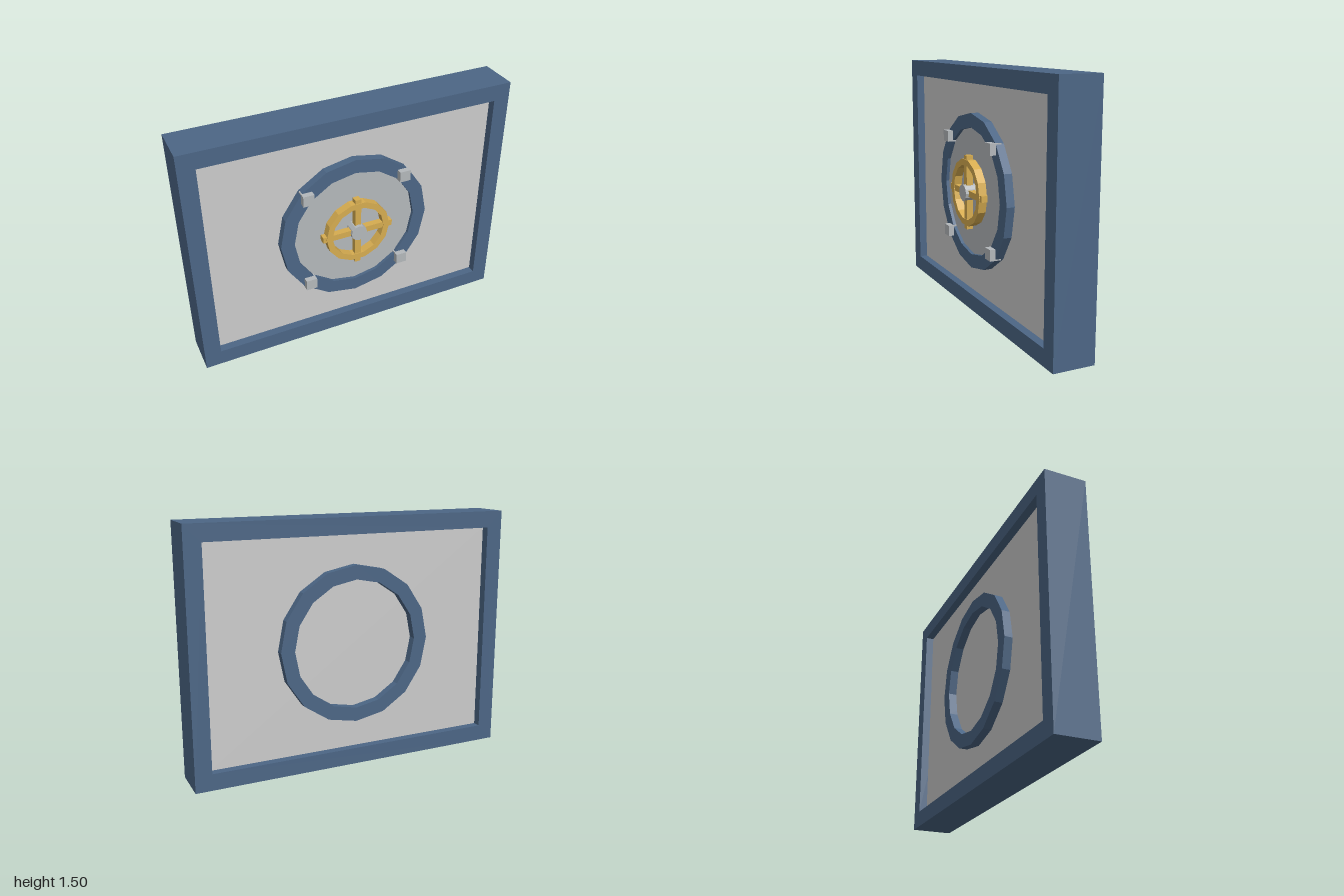
import * as THREE from 'three';

const mat = (color) => new THREE.MeshStandardMaterial({ color, flatShading: true });
const BLUE = mat(0x4c6685), GREY = mat(0xcccccc), STEEL = mat(0xb4b8bb), GOLD = mat(0xd6ac50);
const CY = 0.75; // height of the hatch centre

export function createModel() {
  const model = new THREE.Group();

  const add = (parent, name, geometry, material, x, y, z) => {
    const mesh = new THREE.Mesh(geometry, material);
    mesh.name = name;
    mesh.position.set(x, y, z);
    parent.add(mesh);
    return mesh;
  };

  const polygon = (radius, sides) => Array.from({ length: sides }, (_, i) => {
    const a = (i / sides) * Math.PI * 2;
    return new THREE.Vector2(Math.cos(a) * radius, Math.sin(a) * radius);
  });
  const rectangle = (w, h) => [[-w, -h], [w, -h], [w, h], [-w, h]]
    .map(([x, y]) => new THREE.Vector2(x / 2, y / 2));

  // Flat band between two outlines, extruded towards +z
  const band = (outer, inner, depth) => {
    const shape = new THREE.Shape(outer);
    shape.holes.push(new THREE.Path(inner));
    return new THREE.ExtrudeGeometry(shape, { depth, bevelEnabled: false });
  };
  const disc = (radius, depth, sides) =>
    new THREE.ExtrudeGeometry(new THREE.Shape(polygon(radius, sides)), { depth, bevelEnabled: false });

  // Wall: outer frame with a recessed panel on both sides
  add(model, 'frame', band(rectangle(2, 1.5), rectangle(1.8, 1.3), 0.25), BLUE, 0, CY, -0.15);
  add(model, 'panel', new THREE.BoxGeometry(1.8, 1.3, 0.15), GREY, 0, CY, -0.025);

  // Round hatch collar showing on both sides, with the door in front
  add(model, 'hatchRing', band(polygon(0.475, 16), polygon(0.39, 16), 0.25), BLUE, 0, CY, -0.15);
  add(model, 'hatchDoor', disc(0.39, 0.04, 16), STEEL, 0, CY, 0.04);

  // Four square bolts on the collar
  for (const sx of [-1, 1]) for (const sy of [-1, 1]) {
    add(model, 'bolt', new THREE.BoxGeometry(0.068, 0.068, 0.07), STEEL, sx * 0.305, CY + sy * 0.305, 0.1);
  }

  // Hand wheel: rim, crossed spokes and hub
  const wheel = new THREE.Group();
  wheel.name = 'handWheel';
  wheel.position.y = CY;
  model.add(wheel);
  add(wheel, 'wheelRim', band(polygon(0.205, 14), polygon(0.167, 14), 0.05), GOLD, 0, 0, 0.09);
  for (const turn of [0, Math.PI / 2]) {
    add(wheel, 'wheelSpoke', new THREE.BoxGeometry(0.45, 0.038, 0.04), GOLD, 0, 0, 0.116).rotation.z = turn;
  }
  add(wheel, 'wheelHub', disc(0.05, 0.085, 12), STEEL, 0, 0, 0.07);

  return model;
}
